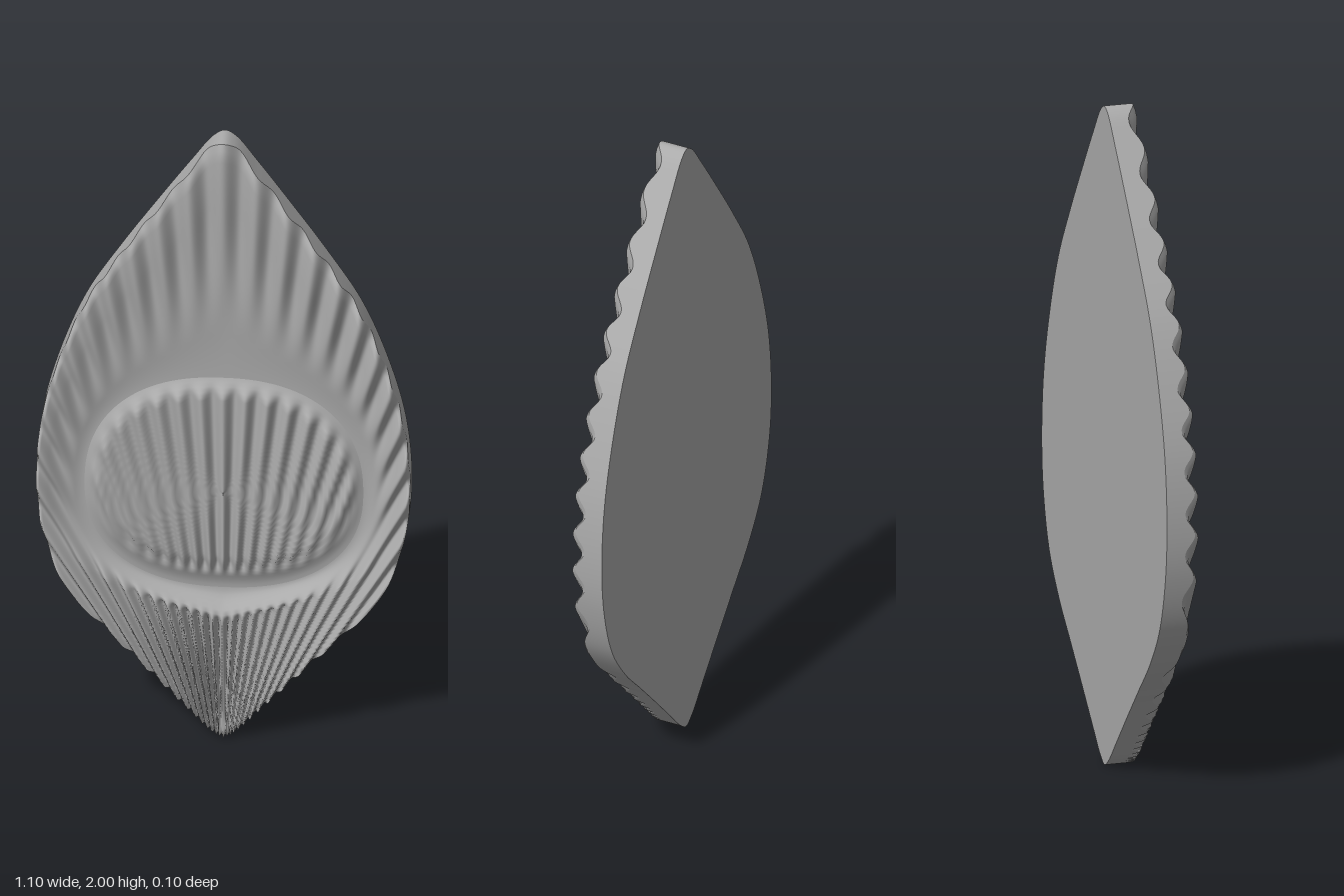
import * as THREE from 'three';

const N = 800;          // steps around the outline
const PAD_RINGS = 32;   // rings inside the oval eye
const RIM_RINGS = 42;   // rings from the eye to the rim
const BACK = -0.05;
const CENTRE_Y = 0.82;
const PITCH = 0.049;    // angle between neighbouring ridges
const { smoothstep, lerp } = THREE.MathUtils;

// Right half of the pointed leaf outline, bottom to top
const HALF = [
  [0.035, 0.02], [0.1, 0.088], [0.2, 0.195], [0.3, 0.3], [0.4, 0.405], [0.485, 0.53],
  [0.535, 0.69], [0.55, 0.85], [0.534, 1.05], [0.485, 1.24], [0.405, 1.44],
  [0.3, 1.61], [0.2, 1.755], [0.1, 1.895], [0.032, 1.983],
];

function outline() {
  const v = (x, y) => new THREE.Vector3(x, y, 0);
  const pts = [v(0, 0), ...HALF.map(([x, y]) => v(x, y)), v(0, 2),
    ...HALF.slice().reverse().map(([x, y]) => v(-x, y))];
  return new THREE.CatmullRomCurve3(pts, true).getSpacedPoints(N).slice(0, N);
}

// Point of the oval eye in the direction of a rim point
function ovalPoint(p) {
  const dx = p.x, dy = p.y - CENTRE_Y;
  const ry = dy > 0 ? 0.37 : 0.335, e = 2.3;
  const k = Math.pow(Math.abs(dx / 0.41) ** e + Math.abs(dy / ry) ** e, -1 / e);
  return new THREE.Vector3(dx * k, CENTRE_Y + dy * k, 0);
}

// 0 on a ridge, 1 in a groove; all ridges fan out from a point below the tip
function groove(x, y) {
  return 0.5 - 0.5 * Math.cos(2 * Math.PI * Math.atan2(x, y + 0.2) / PITCH);
}

// Fluted pad inside the eye; d is the distance to the oval edge
function padHeight(x, y, d) {
  const low = 1 - smoothstep(y, 0.5, 0.85);
  const z = -0.005 + 0.04 * smoothstep(d, 0, lerp(0.05, 0.13, low));
  return z - 0.026 * groove(x, y) * smoothstep(d, lerp(0.012, 0.05, low), lerp(0.05, 0.1, low));
}

// Dished border: u runs from the oval (0) to the rim (1)
function borderHeight(x, y, u) {
  const low = 1 - smoothstep(y, 0.4, 0.75);
  const z = -0.005 + 0.055 * smoothstep(u, 0, lerp(0.95, 0.17, low));
  const flute = smoothstep(u, lerp(0.2, 0.12, low), lerp(0.75, 0.22, low));
  return z - 0.03 * flute * groove(x, y) - 0.012 * smoothstep(u, 0.96, 1);
}

// Surface through a list of closed cross-section loops
function loft(loops) {
  const pos = [], idx = [];
  for (const loop of loops) for (const p of loop) pos.push(p.x, p.y, p.z);
  for (let r = 0; r < loops.length - 1; r++) {
    for (let i = 0; i < N; i++) {
      const a = r * N + i, b = r * N + (i + 1) % N, c = a + N, d = b + N;
      idx.push(a, c, d, a, d, b);
    }
  }
  const g = new THREE.BufferGeometry();
  g.setAttribute('position', new THREE.Float32BufferAttribute(pos, 3));
  g.setIndex(idx);
  g.computeVertexNormals();
  return g;
}

export function createModel() {
  const group = new THREE.Group();
  group.name = 'flutedLeafRelief';
  const grey = new THREE.MeshStandardMaterial({ color: 0xaaaaaa });
  grey.name = 'grey';
  const add = (name, geometry) => {
    const mesh = new THREE.Mesh(geometry, grey);
    mesh.name = name;
    group.add(mesh);
  };

  const rim = outline();
  const oval = rim.map(ovalPoint);
  const centre = new THREE.Vector3(0, CENTRE_Y, 0);

  // Eye pad
  const padLoops = [];
  for (let r = 0; r <= PAD_RINGS; r++) {
    const t = Math.max(r / PAD_RINGS, 0.0005);
    padLoops.push(oval.map((o) => {
      const p = centre.clone().lerp(o, t);
      p.z = padHeight(p.x, p.y, (1 - t) * o.distanceTo(centre));
      return p;
    }));
  }
  add('eyePad', loft(padLoops));

  // Fluted border
  const borderLoops = [];
  for (let r = 0; r <= RIM_RINGS; r++) {
    const u = r / RIM_RINGS;
    borderLoops.push(oval.map((o, i) => {
      const p = o.clone().lerp(rim[i], u);
      p.z = borderHeight(p.x, p.y, u);
      return p;
    }));
  }
  add('flutedBorder', loft(borderLoops));

  // Side wall down to the flat back
  const backLoop = rim.map((p) => new THREE.Vector3(p.x, p.y, BACK));
  add('sideWall', loft([borderLoops[RIM_RINGS], backLoop]));

  // Flat back
  const back = new THREE.ShapeGeometry(new THREE.Shape(rim.map((p) => new THREE.Vector2(-p.x, p.y))));
  back.rotateY(Math.PI);
  back.translate(0, 0, BACK);
  add('back', back);

  return group;
}
